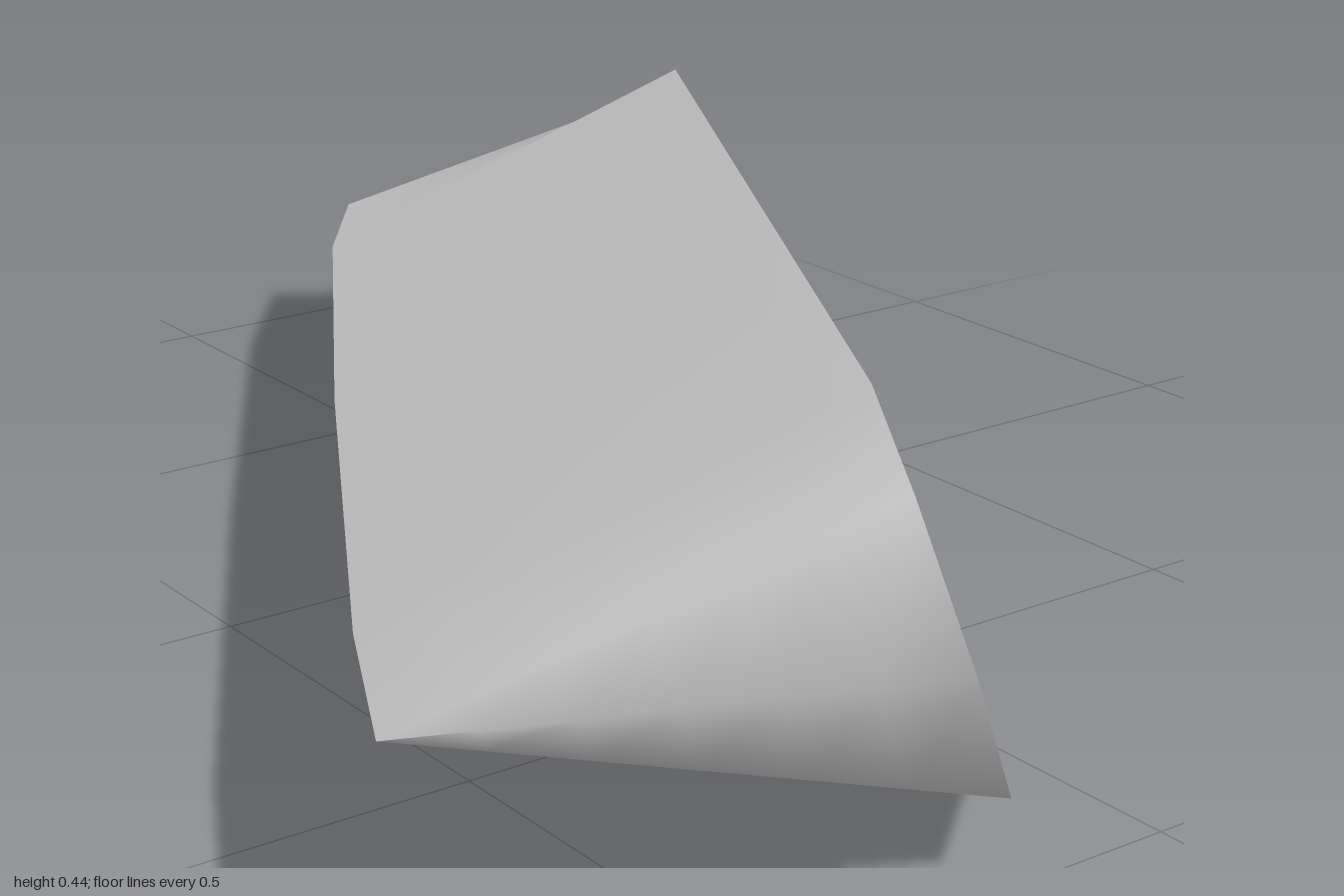
import * as THREE from 'three';

// Points of the thin rear edge, from the front tip to the back tip
const EDGE = [
  [-0.75, 0.205, 0.725],
  [-0.63, 0.2, 0.49],
  [-0.25, 0.185, -0.17],
  [0.13, 0.17, -0.8],
  [0.28, 0.165, -1.0],
];

// Rim of the broad face, clockwise from outside: x, y, z, matching edge point
const RIM = [
  [-0.265, 0.395, 0.91, 0],
  [-0.17, 0.44, 0.735, 1],
  [0.22, 0.4225, 0.0625, 2],
  [0.61, 0.405, -0.61, 3],
  [0.675, 0.355, -0.7, 4],
  [0.73, 0.2, -0.7, 4],
  [0.745, 0.05, -0.625, 4],
  [0.69, 0.005, -0.5, 3],
  [0.305, 0.015, 0.165, 2],
  [-0.08, 0.03, 0.83, 1],
  [-0.185, 0.085, 0.975, 0],
  [-0.26, 0.24, 1.0, 0],
];

const ROWS = 6;

function makeGeometry(positions, indices) {
  const geometry = new THREE.BufferGeometry();
  geometry.setAttribute('position', new THREE.Float32BufferAttribute(positions, 3));
  geometry.setIndex(indices);
  geometry.computeVertexNormals();
  return geometry;
}

// Loft that narrows from the rim down to the thin edge
function taperedBody() {
  const n = RIM.length;
  const positions = [];
  const indices = [];
  for (let r = 0; r <= ROWS; r++) {
    for (const p of RIM) {
      const end = EDGE[p[3]];
      for (let a = 0; a < 3; a++) positions.push(THREE.MathUtils.lerp(p[a], end[a], r / ROWS));
    }
  }
  for (let r = 0; r < ROWS; r++) {
    for (let k = 0; k < n; k++) {
      const a = r * n + k;
      const b = r * n + (k + 1) % n;
      indices.push(a, b, a + n);
      // Columns that share a tip close with a single triangle
      const sameTip = RIM[k][3] === RIM[(k + 1) % n][3];
      if (r < ROWS - 1 || !sameTip) indices.push(b, b + n, a + n);
    }
  }
  return makeGeometry(positions, indices);
}

// Broad face closing the rim, as a fan from its centre
function broadFace() {
  const n = RIM.length;
  const positions = [0.24, 0.22, 0.14];
  const indices = [];
  RIM.forEach((p, k) => {
    positions.push(p[0], p[1], p[2]);
    indices.push(0, 1 + (k + 1) % n, 1 + k);
  });
  return makeGeometry(positions, indices);
}

export function createModel() {
  const group = new THREE.Group();
  group.name = 'taperedBlock';
  const material = new THREE.MeshStandardMaterial({ color: 0xcccccc, side: THREE.DoubleSide });

  const body = new THREE.Mesh(taperedBody(), material);
  body.name = 'taperedBody';
  const face = new THREE.Mesh(broadFace(), material);
  face.name = 'broadFace';

  group.add(body, face);
  return group;
}
